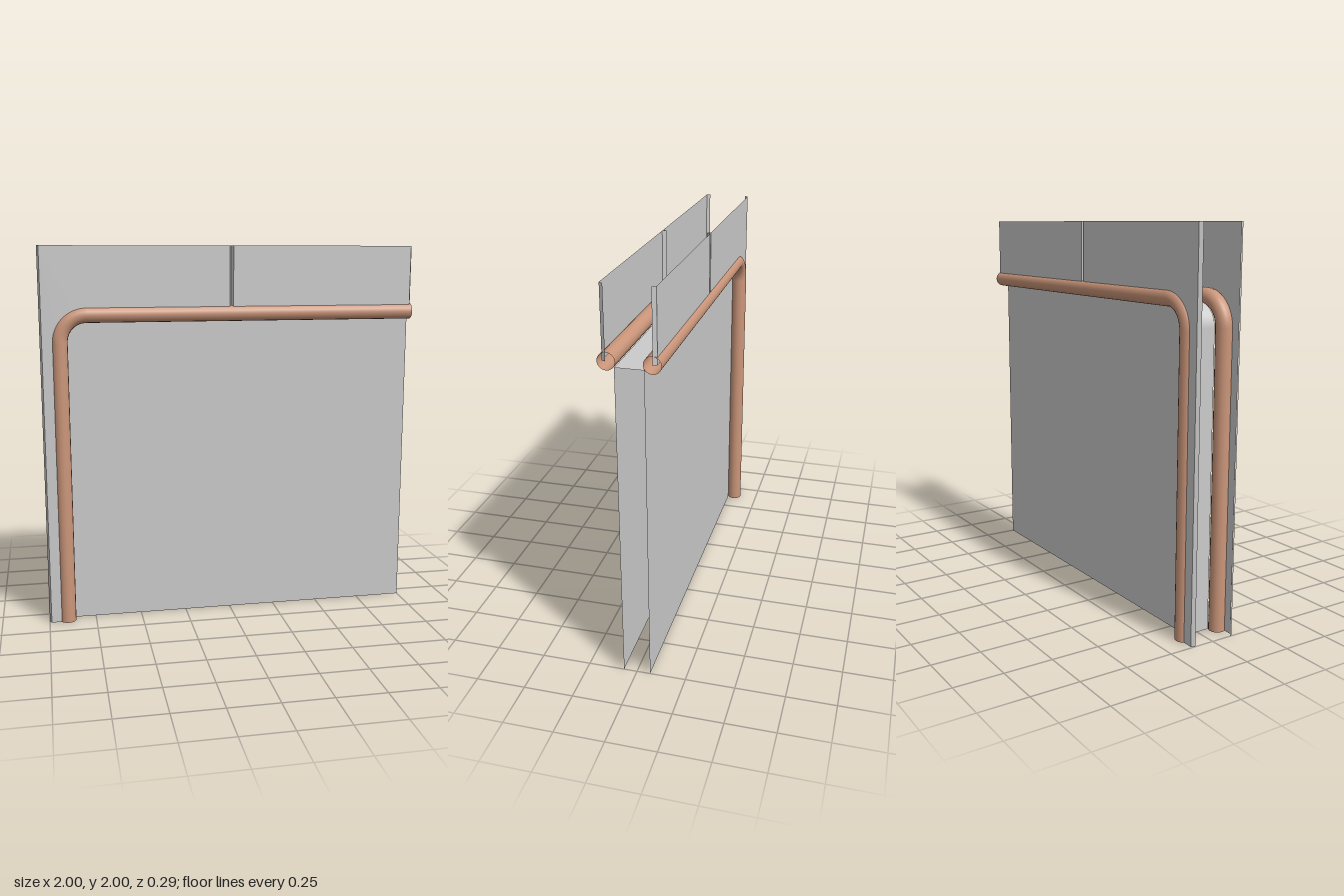
import * as THREE from 'three';

const grey = new THREE.MeshStandardMaterial({ color: 0xcccccc, side: THREE.DoubleSide });
const brown = new THREE.MeshStandardMaterial({ color: 0xcb967a, side: THREE.DoubleSide });

// Centre of the rounded corner, and the trim's bend and tube radii
const CX = -0.76, CY = 1.51, BEND = 0.14, TUBE = 0.042;
const TRIM_Z = 0.105, FACE_Z = 0.126, GROOVE_Z = 0.107, DOOR_Z = 0.068;

function add(parent, name, geometry, material) {
  const mesh = new THREE.Mesh(geometry, material);
  mesh.name = name;
  parent.add(mesh);
  return mesh;
}

// Opening outline from the floor, round the corner, to x = endX
function archPoints(radius, endX) {
  const points = [new THREE.Vector2(CX - radius, 0)];
  for (let i = 0; i <= 12; i++) {
    const a = Math.PI - (i / 12) * Math.PI / 2;
    points.push(new THREE.Vector2(CX + radius * Math.cos(a), CY + radius * Math.sin(a)));
  }
  points.push(new THREE.Vector2(endX, CY + radius));
  return points;
}

// Flat sheet cut to an outline
function sheet(points, z) {
  return new THREE.ShapeGeometry(new THREE.Shape(points)).translate(0, 0, z);
}

// Chamfer along a panel edge, from groove depth at x0 to face depth at x1
function chamfer(x0, x1, y0, y1) {
  const g = new THREE.PlaneGeometry(1, 1);
  const p = g.attributes.position;
  for (let i = 0; i < p.count; i++) {
    const right = p.getX(i) > 0, top = p.getY(i) > 0;
    const groove = right === (x0 > x1);
    p.setXYZ(i, right ? Math.max(x0, x1) : Math.min(x0, x1), top ? y1 : y0, groove ? GROOVE_Z : FACE_Z);
  }
  g.computeVertexNormals();
  return g;
}

// One face of the wall with its trim and door sheet
function createSide() {
  const side = new THREE.Group();
  const top = CY + BEND, c = 0.01;
  const v = (x, y) => new THREE.Vector2(x, y);

  // Wall panels around the opening
  add(side, 'cornerWallPanel', sheet([...archPoints(BEND, -c), v(-c, 2), v(-1 + c, 2), v(-1 + c, 0)], FACE_Z), grey);
  add(side, 'upperWallPanel', sheet([v(c, top), v(1 - c, top), v(1 - c, 2), v(c, 2)], FACE_Z), grey);
  for (const [x0, x1, y0] of [[-1, -1 + c, 0], [0, -c, top], [0, c, top], [1, 1 - c, top]]) {
    add(side, 'panelChamfer', chamfer(x0, x1, y0, 2), grey);
  }

  // Rounded trim: upright, bend and rail
  const trim = new THREE.Group();
  trim.name = 'trim';
  trim.position.z = TRIM_Z;
  side.add(trim);
  add(trim, 'trimUpright', new THREE.CylinderGeometry(TUBE, TUBE, CY, 16, 1, true)
    .translate(CX - BEND, CY / 2, 0), brown);
  add(trim, 'trimBend', new THREE.TorusGeometry(BEND, TUBE, 16, 12, Math.PI / 2)
    .rotateZ(Math.PI / 2).translate(CX, CY, 0), brown);
  add(trim, 'trimRail', new THREE.CylinderGeometry(TUBE, TUBE, 1 - CX, 16, 1, true)
    .rotateZ(Math.PI / 2).translate((1 + CX) / 2, top, 0), brown);

  // Door sheet filling the opening
  add(side, 'doorSheet', sheet([...archPoints(BEND - 0.025, 1), v(1, 0)], DOOR_Z), grey);
  return side;
}

// Curved strip joining the two door sheets
function liningGeometry() {
  const pts = archPoints(BEND - 0.025, 1);
  const g = new THREE.PlaneGeometry(1, 1, pts.length - 1, 1);
  const p = g.attributes.position;
  for (let i = 0; i < p.count; i++) {
    const q = pts[i % pts.length];
    p.setXYZ(i, q.x, q.y, i < pts.length ? -DOOR_Z : DOOR_Z);
  }
  g.computeVertexNormals();
  return g;
}

export function createModel() {
  const model = new THREE.Group();
  model.name = 'wallWithDoorway';

  const front = createSide();
  front.name = 'frontSide';
  const back = createSide();
  back.name = 'backSide';
  back.scale.z = -1;
  model.add(front, back);

  add(model, 'doorwayLining', liningGeometry(), grey);
  return model;
}
